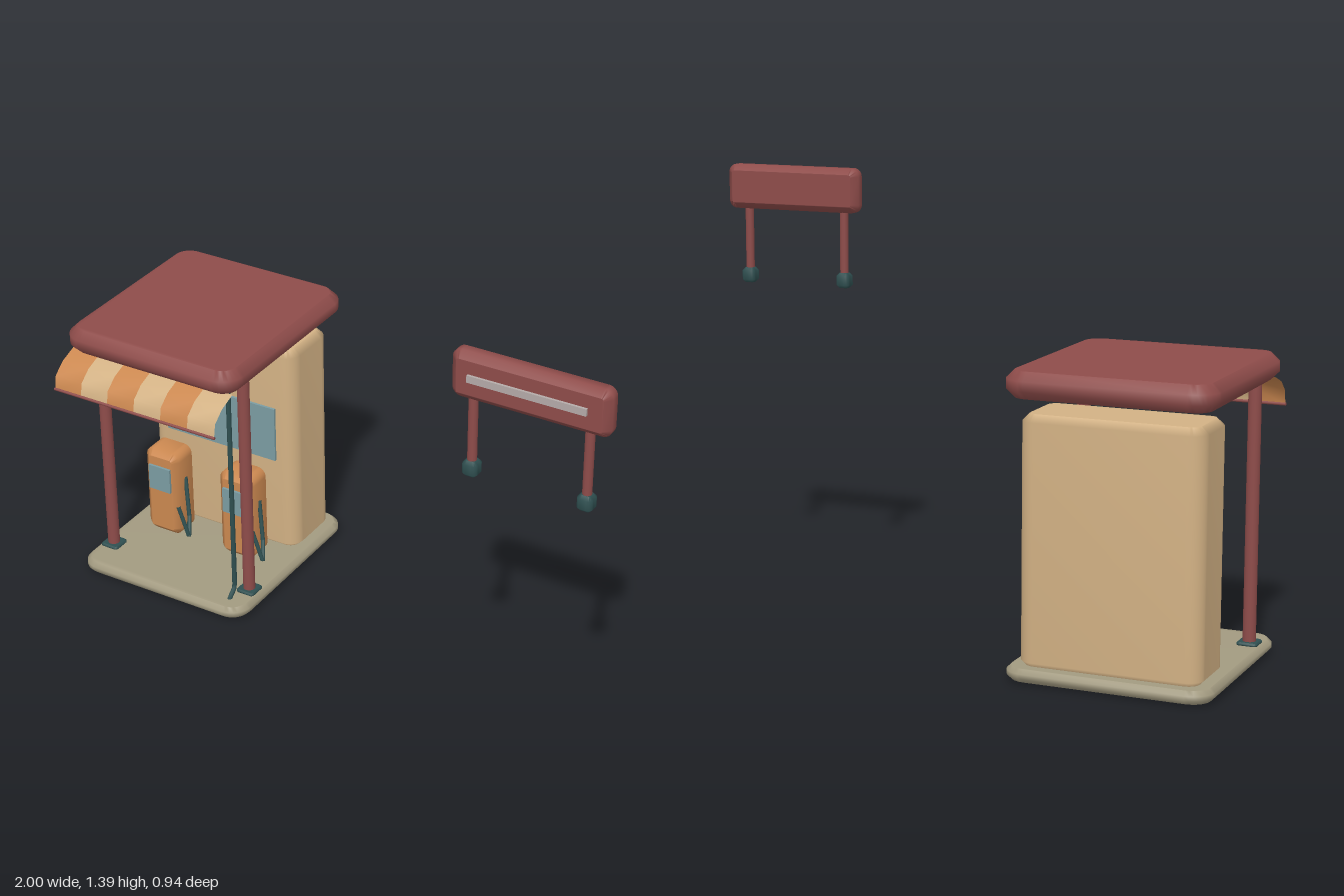
import * as THREE from 'three';
import { mergeVertices } from 'three/addons/utils/BufferGeometryUtils.js';

const paint = (name, color, side = THREE.FrontSide) => {
  const m = new THREE.MeshStandardMaterial({ color, side });
  m.name = name;
  return m;
};

// Chamfered block with rounded outline corners; axis is the extrusion direction
function block(w, h, d, r, bevel, axis = 'z') {
  const [sx, sy, depth] = axis === 'y' ? [w, d, h] : [w, h, d];
  const x = sx / 2 - r, y = sy / 2 - r, q = Math.PI / 2;
  const s = new THREE.Shape();
  s.absarc(x, y, r, 0, q);
  s.absarc(-x, y, r, q, 2 * q);
  s.absarc(-x, -y, r, 2 * q, 3 * q);
  s.absarc(x, -y, r, 3 * q, 4 * q);
  s.closePath();
  let g = new THREE.ExtrudeGeometry(s, {
    depth: depth - 2 * bevel, bevelEnabled: true, bevelThickness: bevel,
    bevelSize: bevel, bevelOffset: -bevel, bevelSegments: 1, curveSegments: 4,
  });
  g.translate(0, 0, bevel - depth / 2);
  if (axis === 'y') g.rotateX(-q);
  g.deleteAttribute('normal');
  g.deleteAttribute('uv');
  g.clearGroups();
  g = mergeVertices(g, 1e-5);
  g.computeVertexNormals();
  return g;
}

// Tube with straight runs between points
function pipe(points, radius) {
  const path = new THREE.CurvePath();
  const v = points.map((p) => new THREE.Vector3(...p));
  for (let i = 1; i < v.length; i++) path.add(new THREE.LineCurve3(v[i - 1], v[i]));
  return new THREE.TubeGeometry(path, 48, radius, 8);
}

export function createModel() {
  const model = new THREE.Group();
  const red = paint('brick red', 0x8e4c4a);
  const tan = paint('tan', 0xd2b184, THREE.DoubleSide);
  const orange = paint('orange', 0xcb8850, THREE.DoubleSide);
  const glass = paint('blue grey glass', 0x7b9ca2);
  const dark = paint('dark teal', 0x2f4f50);
  const concrete = paint('concrete', 0xa29a80);
  const silver = paint('pale grey', 0xb4aaa8);

  const add = (name, geometry, material, x = 0, y = 0, z = 0, parent = model) => {
    const m = new THREE.Mesh(geometry, material);
    m.name = name;
    m.position.set(x, y, z);
    parent.add(m);
    return m;
  };
  const cx = -0.68;

  // Floor slab, kiosk and roof
  add('base', block(0.635, 0.04, 0.67, 0.07, 0.013, 'y'), concrete, cx, 0.024, -0.12);
  add('kiosk', block(0.56, 0.755, 0.23, 0.05, 0.022, 'y'), tan, cx, 0.413, -0.305);
  add('kioskWindow', new THREE.BoxGeometry(0.425, 0.195, 0.009), glass, cx, 0.478, -0.186);
  add('roof', block(0.64, 0.08, 0.692, 0.075, 0.025, 'y'), red, cx, 0.88, -0.122);
  add('ceilingPanel', new THREE.BoxGeometry(0.5, 0.008, 0.6), red, cx, 0.84, -0.11);

  // Mirrored posts with foot plates and ceiling lamps
  for (const s of [-1, 1]) {
    const x = cx + s * 0.27;
    add('post', new THREE.CylinderGeometry(0.02, 0.02, 0.8, 16), red, x, 0.445, 0.08);
    add('postFoot', block(0.066, 0.012, 0.066, 0.012, 0.004, 'y'), dark, x, 0.048, 0.08);
    add('ceilingLamp', new THREE.CylinderGeometry(0.036, 0.036, 0.006, 20), concrete, cx + s * 0.12, 0.834, 0.12);
  }

  // Drain pipe beside the right post
  add('drainPipe', pipe([[-0.438, 0.002, 0.175], [-0.438, 0.045, 0.155], [-0.438, 0.07, 0.123],
    [-0.438, 0.836, 0.123], [-0.438, 0.836, 0]], 0.008), dark);

  // Two fuel pumps
  for (const x of [-0.83, -0.538]) {
    const pump = new THREE.Group();
    pump.name = 'pump';
    pump.position.x = x;
    add('pumpBody', block(0.13, 0.315, 0.112, 0.03, 0.02), orange, 0, 0.2175, -0.095, pump);
    add('pumpScreen', new THREE.BoxGeometry(0.083, 0.09, 0.009), glass, 0, 0.277, -0.035, pump);
    add('pumpHose', pipe([[0.063, 0.275, -0.092], [0.09, 0.14, -0.066], [0.115, 0.09, -0.024],
      [0.078, 0.198, -0.022]], 0.007), dark, 0, 0, 0, pump);
    model.add(pump);
  }

  // Striped curved awning, listed as [y, z] from roof to lip
  const profile = [[0.842, 0.185], [0.82, 0.245], [0.787, 0.285], [0.742, 0.293]];
  for (let i = 0; i < 6; i++) {
    const g = new THREE.PlaneGeometry(0.1, 1, 1, 3);
    const p = g.attributes.position;
    for (let k = 0; k < p.count; k++) {
      const [y, z] = profile[Math.floor(k / 2)];
      p.setY(k, y);
      p.setZ(k, z);
    }
    g.computeVertexNormals();
    add('awningStripe', g, i % 2 ? tan : orange, cx - 0.25 + i * 0.1, 0, 0);
  }
  add('awningRail', new THREE.CylinderGeometry(0.005, 0.005, 0.604, 8).rotateZ(Math.PI / 2), red, cx, 0.742, 0.293);

  // Free-standing sign board on two legs
  add('signBoard', block(0.482, 0.147, 0.066, 0.028, 0.02), red, 0.759, 1.312, 0.428);
  add('signStrip', new THREE.BoxGeometry(0.36, 0.022, 0.009), silver, 0.755, 1.314, 0.4645);
  for (const x of [0.578, 0.932]) {
    add('signLeg', new THREE.CylinderGeometry(0.014, 0.014, 0.24, 12), red, x, 1.14, 0.428);
    add('signFoot', block(0.048, 0.05, 0.048, 0.015, 0.01, 'y'), dark, x, 1.014, 0.428);
  }
  return model;
}
